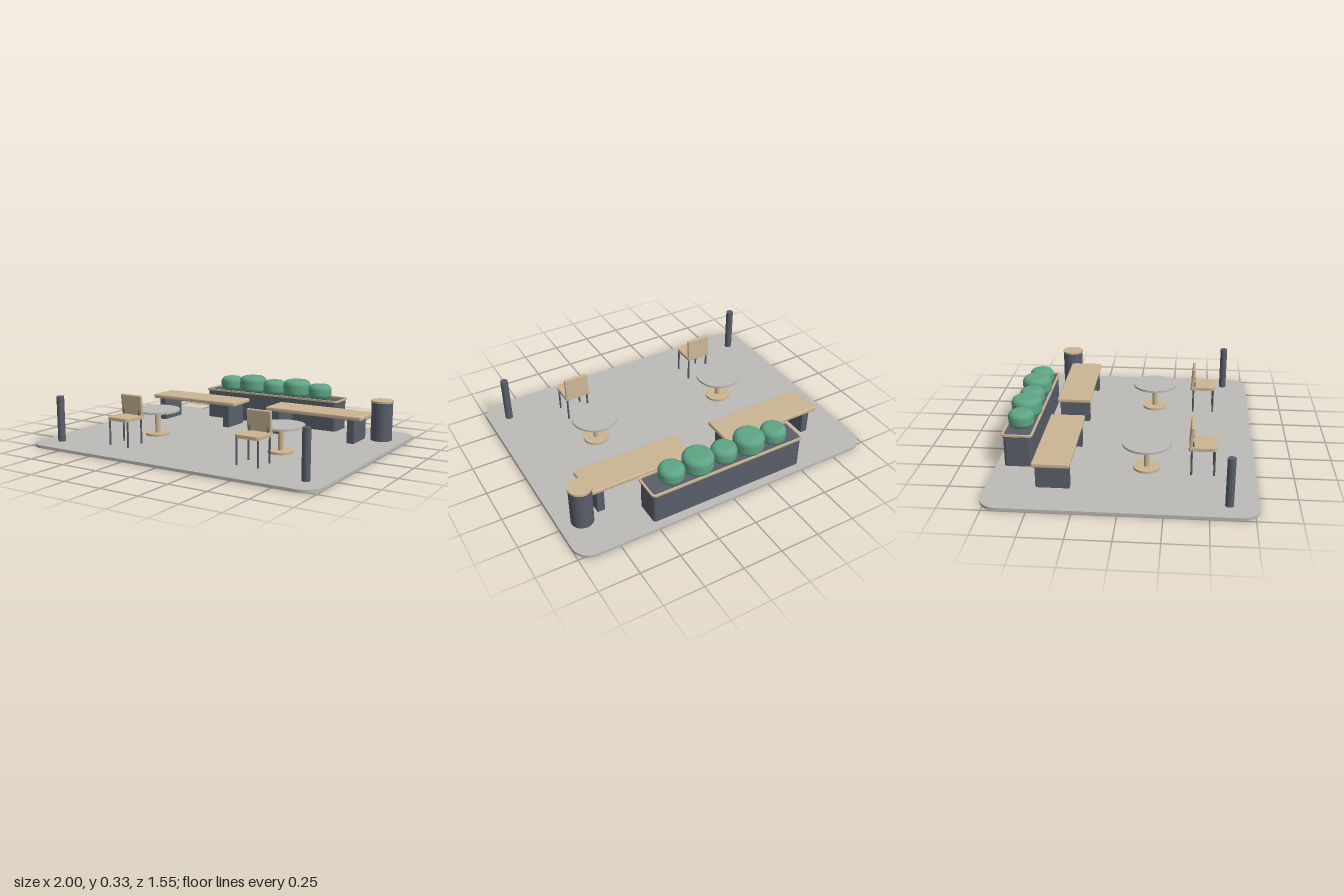
import * as THREE from 'three';
import { RoundedBoxGeometry } from 'three/addons/geometries/RoundedBoxGeometry.js';

const mat = (name, color) => {
  const m = new THREE.MeshStandardMaterial({ color });
  m.name = name;
  return m;
};

// Rounded rectangle outline; front and back corner radii may differ
function roundedRect(w, d, rFront, rBack = rFront, Type = THREE.Shape) {
  const x = w / 2, y = d / 2, s = new Type();
  s.moveTo(-x + rFront, -y);
  s.lineTo(x - rFront, -y);
  s.absarc(x - rFront, -y + rFront, rFront, -Math.PI / 2, 0);
  s.lineTo(x, y - rBack);
  s.absarc(x - rBack, y - rBack, rBack, 0, Math.PI / 2);
  s.lineTo(-x + rBack, y);
  s.absarc(-x + rBack, y - rBack, rBack, Math.PI / 2, Math.PI);
  s.lineTo(-x, -y + rFront);
  s.absarc(-x + rFront, -y + rFront, rFront, Math.PI, Math.PI * 1.5);
  return s;
}

// Upright slab standing on y = 0
function slab(shape, height) {
  return new THREE.ExtrudeGeometry(shape, { depth: height, bevelEnabled: false, curveSegments: 10 })
    .rotateX(-Math.PI / 2);
}

export function createModel() {
  const stone = mat('stone', 0xbdbbb7);
  const wood = mat('wood', 0xcbb594);
  const slate = mat('slate', 0x595f6b);
  const leaf = mat('leaf', 0x5fa585);
  const root = new THREE.Group();
  root.name = 'plaza';
  const floor = 0.018;

  const add = (parent, name, geometry, material, x, y, z) => {
    const m = new THREE.Mesh(geometry, material);
    m.name = name;
    m.position.set(x, y, z);
    parent.add(m);
    return m;
  };
  const group = (name, x, z) => {
    const g = new THREE.Group();
    g.name = name;
    g.position.set(x, floor, z);
    root.add(g);
    return g;
  };
  // Cylinder between two heights
  const post = (parent, name, material, r, y0, y1, x = 0, z = 0, sides = 32) =>
    add(parent, name, new THREE.CylinderGeometry(r, r, y1 - y0, sides), material, x, (y0 + y1) / 2, z);

  add(root, 'ground', slab(roundedRect(2, 1.554, 0.11), floor), stone, 0, 0, 0);

  // Planter with a thin wooden rim and a row of clipped bushes
  const planter = group('planter', 0, -0.64);
  add(planter, 'planterBody', slab(roundedRect(1.02, 0.17, 0.02), 0.2), slate, 0, 0, 0);
  const rim = roundedRect(1.04, 0.187, 0.025);
  rim.holes.push(roundedRect(1.016, 0.163, 0.018, 0.018, THREE.Path));
  add(planter, 'planterRim', slab(rim, 0.012), wood, 0, 0.197, 0);
  const bush = (r, h) => {
    const c = Math.min(0.036, h * 0.4), pts = [new THREE.Vector2(0, 0)];
    for (let i = 0; i <= 6; i++) {
      const a = (i / 6) * Math.PI / 2;
      pts.push(new THREE.Vector2(r - c + c * Math.sin(a), c * (1 - Math.cos(a))));
    }
    for (let i = 0; i <= 6; i++) {
      const a = (i / 6) * Math.PI / 2;
      pts.push(new THREE.Vector2(r - c + c * Math.cos(a), h - c + c * Math.sin(a)));
    }
    pts.push(new THREE.Vector2(0, h));
    return new THREE.LatheGeometry(pts, 36);
  };
  [-0.355, -0.178, -0.004, 0.174, 0.35].forEach((x, i) => {
    const big = i % 2 === 1;
    add(planter, 'bush' + (i + 1), bush(big ? 0.095 : 0.079, big ? 0.118 : 0.102), leaf, x, 0.197, 0);
  });

  // Benches
  for (const x of [-0.464, 0.462]) {
    const bench = group('bench', x, -0.392);
    add(bench, 'benchSeat', new RoundedBoxGeometry(0.68, 0.028, 0.218, 3, 0.008), wood, 0, 0.164, 0);
    for (const s of [-1, 1])
      add(bench, 'benchLeg', new THREE.BoxGeometry(0.046, 0.152, 0.196), slate, s * 0.267, 0.076, 0);
  }

  // Litter bin
  const bin = group('bin', 0.856, -0.502);
  post(bin, 'binBody', slate, 0.068, 0, 0.247);
  post(bin, 'binLid', wood, 0.072, 0.247, 0.259);

  for (const x of [-0.464, 0.462]) {
    // Round pedestal table
    const table = group('table', x, 0.129);
    post(table, 'tableTop', stone, 0.147, 0.159, 0.172, 0, 0, 48);
    post(table, 'tableStem', wood, 0.017, 0.012, 0.159);
    post(table, 'tableBase', wood, 0.081, 0, 0.014);

    // Chair facing forward
    const chair = group('chair', x, 0.46);
    add(chair, 'chairSeat', slab(roundedRect(0.168, 0.168, 0.028, 0.01), 0.02), wood, 0, 0.16, 0);
    const back = add(chair, 'chairBack', new RoundedBoxGeometry(0.16, 0.132, 0.02, 3, 0.007), wood, 0, 0.241, -0.066);
    back.rotation.x = 0.08;
    for (const s of [-1, 1]) {
      for (const z of [-0.064, 0.07]) post(chair, 'chairLeg', slate, 0.006, 0, 0.162, s * 0.07, z, 12);
      post(chair, 'backSupport', slate, 0.005, 0.175, 0.212, s * 0.06, -0.056, 12);
    }
  }

  // Bollards at the front corners
  for (const s of [-1, 1]) post(group('bollard', s * 0.87, 0.61), 'bollardPost', slate, 0.024, 0, 0.291, 0, 0, 24);

  return root;
}
